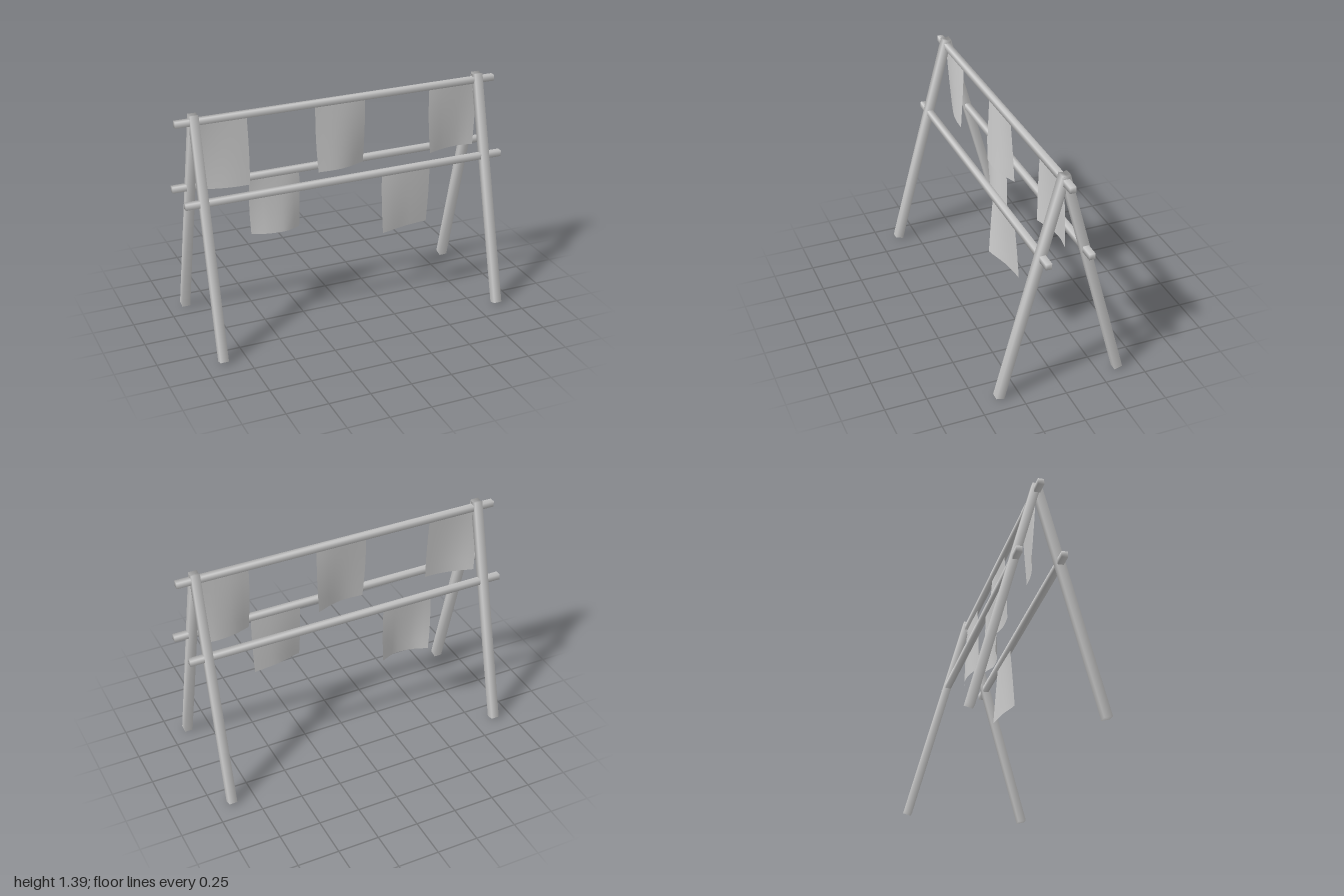
import * as THREE from 'three';
import { mergeVertices } from 'three/addons/utils/BufferGeometryUtils.js';

const grey = new THREE.MeshStandardMaterial({ color: 0xcccccc, side: THREE.DoubleSide });
grey.name = 'plain grey';

// Square bar whose normals are averaged over its corners
function softBar(w, h, d) {
  const g = new THREE.BoxGeometry(w, h, d);
  g.deleteAttribute('normal');
  g.deleteAttribute('uv');
  const merged = mergeVertices(g);
  merged.computeVertexNormals();
  return merged;
}

function addMesh(parent, geometry, name, x = 0, y = 0, z = 0) {
  const mesh = new THREE.Mesh(geometry, grey);
  mesh.name = name;
  mesh.position.set(x, y, z);
  parent.add(mesh);
  return mesh;
}

// Hanging cloth: straight along the rail, swaying more towards the hem
function cloth(width, height, sway, taper) {
  const g = new THREE.PlaneGeometry(width, height, 8, 6);
  g.translate(0, -height / 2, 0);
  const hem = new THREE.SplineCurve(sway.map((z, i) => new THREE.Vector2(i, z)));
  const p = g.attributes.position;
  for (let i = 0; i < p.count; i++) {
    const u = p.getX(i) / width + 0.5;
    const v = -p.getY(i) / height;
    p.setZ(i, hem.getPoint(u).y * v);
    p.setX(i, p.getX(i) + taper * (1 - u) * v * v + 0.004 * Math.sin(Math.PI * v) * (2 * u - 1));
  }
  g.computeVertexNormals();
  return g;
}

export function createModel() {
  const model = new THREE.Group();
  model.name = 'clothRack';

  // Crossed pairs of legs at both ends
  const spread = 0.37, low = 0.0065, high = 1.382;
  const legGeometry = softBar(0.05, Math.hypot(spread, high - low), 0.05);
  for (const x of [-0.89, 0.89]) {
    for (const side of [-1, 1]) {
      const leg = addMesh(model, legGeometry, side > 0 ? 'frontLeg' : 'backLeg',
        x, (low + high) / 2, side * spread / 2);
      leg.rotation.x = -side * Math.atan2(spread, high - low);
    }
  }

  // Rails
  const railGeometry = softBar(2, 0.036, 0.036);
  addMesh(model, railGeometry, 'topRail', 0, 1.345, 0);
  addMesh(model, railGeometry, 'frontRail', 0, 0.9, 0.127);
  addMesh(model, railGeometry, 'backRail', 0, 0.9, -0.127);

  // Cloths: name, x, y, z, height, sway of the hem from -x to +x, taper
  const cloths = [
    ['topClothRight', -0.735, 1.345, 0, 0.425, [-0.028, -0.005, 0.014, 0.024, 0.026], 0.01],
    ['topClothMiddle', -0.002, 1.345, 0, 0.425, [0.02, 0.025, 0.022, 0.002, -0.028], 0.01],
    ['topClothLeft', 0.73, 1.345, 0, 0.425, [0.015, -0.01, -0.025, -0.028, -0.015], 0.01],
    ['backCloth', -0.373, 0.9, -0.127, 0.385, [-0.016, 0.012, 0.025, 0.022, -0.01], 0.01],
    ['frontCloth', 0.367, 0.9, 0.127, 0.385, [0.028, 0.008, -0.012, -0.022, -0.03], 0],
  ];
  for (const [name, x, y, z, height, sway, taper] of cloths) {
    addMesh(model, cloth(0.315, height, sway, taper), name, x, y, z);
  }
  return model;
}
